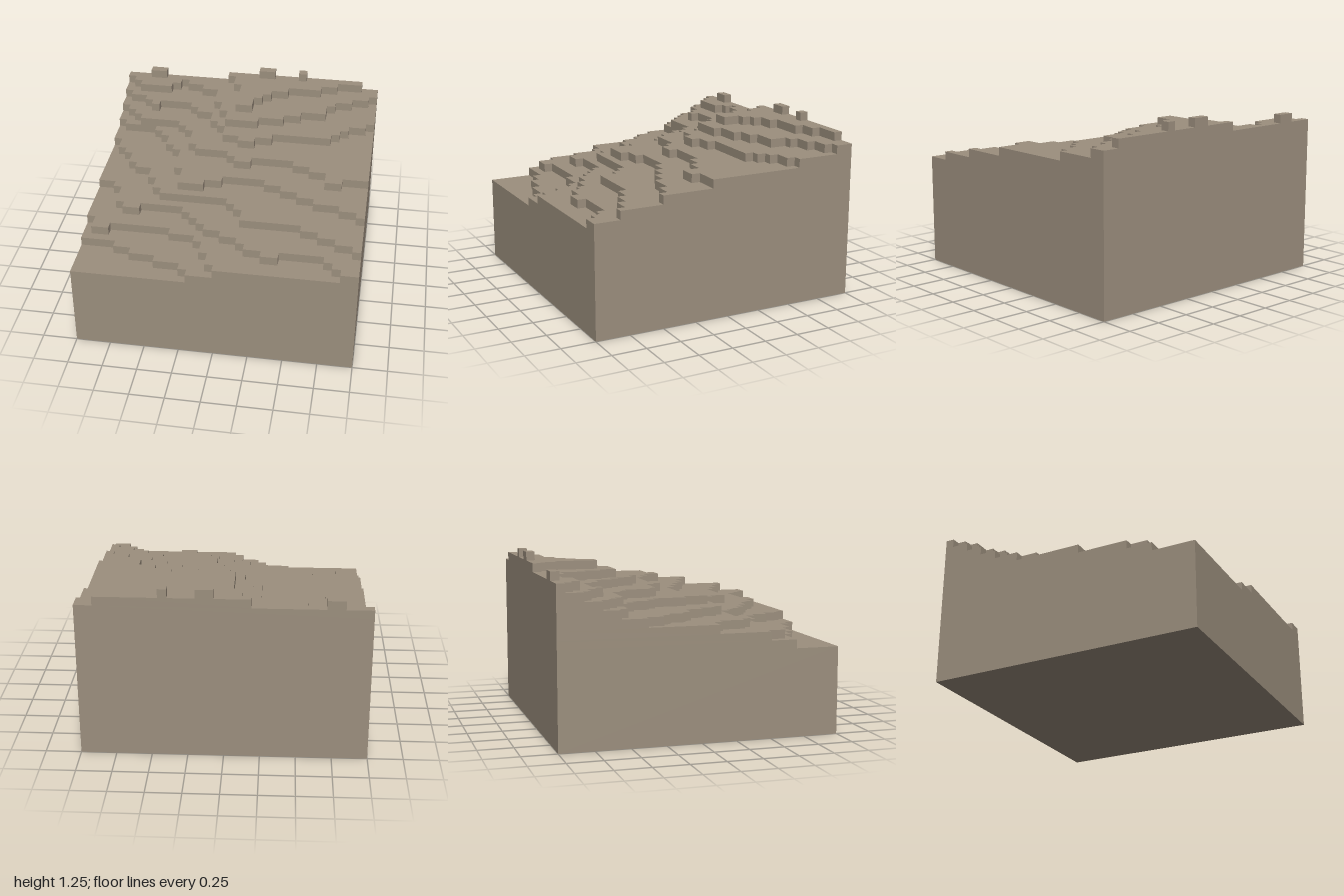
import * as THREE from 'three';

const CELL = 2 / 32; // the terrain is a 32 x 32 block grid

export function createModel() {
  const model = new THREE.Group();
  model.name = 'terracedHillside';
  const stone = new THREE.MeshStandardMaterial({ color: 0x9c8f7e });
  stone.name = 'stone';

  const at = (n) => n * CELL - 1;

  // One layer of blocks, from the back edge to a stepped front edge.
  // runs: [first column, front row] for each straight piece of the edge.
  function terrace(name, level, runs, endColumn = 32) {
    const shape = new THREE.Shape();
    shape.moveTo(at(runs[0][0]), 1);
    runs.forEach(([column, row], i) => {
      const next = i + 1 < runs.length ? runs[i + 1][0] : endColumn;
      shape.lineTo(at(column), -at(row));
      shape.lineTo(at(next), -at(row));
    });
    shape.lineTo(at(endColumn), 1);
    shape.closePath();
    const geometry = new THREE.ExtrudeGeometry(shape, { depth: CELL, bevelEnabled: false });
    geometry.rotateX(-Math.PI / 2);
    const mesh = new THREE.Mesh(geometry, stone);
    mesh.name = name;
    mesh.position.y = level * CELL;
    model.add(mesh);
  }

  // Solid ground, ten blocks high
  const ground = new THREE.Mesh(new THREE.BoxGeometry(2, 10 * CELL, 2), stone);
  ground.name = 'ground';
  ground.position.y = 5 * CELL;
  model.add(ground);

  // Terraces from the lowest to the highest
  terrace('terrace1', 10, [[0, 27], [4, 28], [6, 29], [9, 30], [12, 31], [13, 32]]);
  terrace('terrace2', 11, [[0, 24], [1, 26], [3, 25], [10, 26], [13, 27], [14, 29], [15, 31], [16, 32]]);
  terrace('terrace3', 12, [[0, 18], [2, 19], [3, 22], [4, 23], [6, 22], [11, 23], [12, 24], [13, 25],
    [14, 26], [16, 27], [18, 28], [19, 29], [21, 30], [23, 29], [28, 30], [29, 31], [30, 32]]);
  terrace('terrace4', 13, [[0, 10], [1, 12], [2, 13], [3, 15], [4, 16], [6, 18], [7, 20], [8, 21],
    [16, 22], [17, 23], [18, 25], [25, 26], [27, 27], [29, 28], [31, 29]]);
  terrace('terrace5', 14, [[0, 7], [1, 8], [5, 9], [6, 10], [7, 12], [8, 13], [9, 17], [10, 20],
    [13, 19], [15, 18], [20, 19], [22, 20], [24, 21], [26, 22], [29, 23], [31, 24]]);
  terrace('terrace6', 15, [[0, 5], [1, 6], [2, 7], [3, 8], [8, 9], [9, 10], [10, 13], [11, 14],
    [15, 15], [16, 16], [18, 15], [23, 16], [25, 17], [27, 19], [29, 18]]);
  terrace('terrace7', 16, [[0, 3], [1, 4], [3, 5], [4, 6], [5, 5], [9, 6], [10, 7], [12, 9], [13, 10],
    [14, 12], [16, 13], [18, 12], [20, 11], [27, 10], [28, 9], [29, 8], [31, 7]]);
  terrace('terrace8', 17, [[0, 1], [1, 2], [2, 3], [6, 2], [7, 1], [8, 2], [10, 3], [12, 6], [13, 8],
    [14, 10], [18, 9], [21, 8], [23, 7], [26, 5], [27, 4], [29, 3], [31, 2]]);
  terrace('terrace9', 18, [[13, 1], [14, 3], [15, 8], [17, 6], [18, 5], [19, 4], [21, 3], [25, 2], [27, 1]], 30);

  // Small blocks along the back edge
  terrace('leftBackBlock', 18, [[3, 1]], 5);
  terrace('middleBackBlock', 19, [[17, 1]], 19);
  terrace('rightBackBlock', 19, [[22, 1]], 23);

  return model;
}
